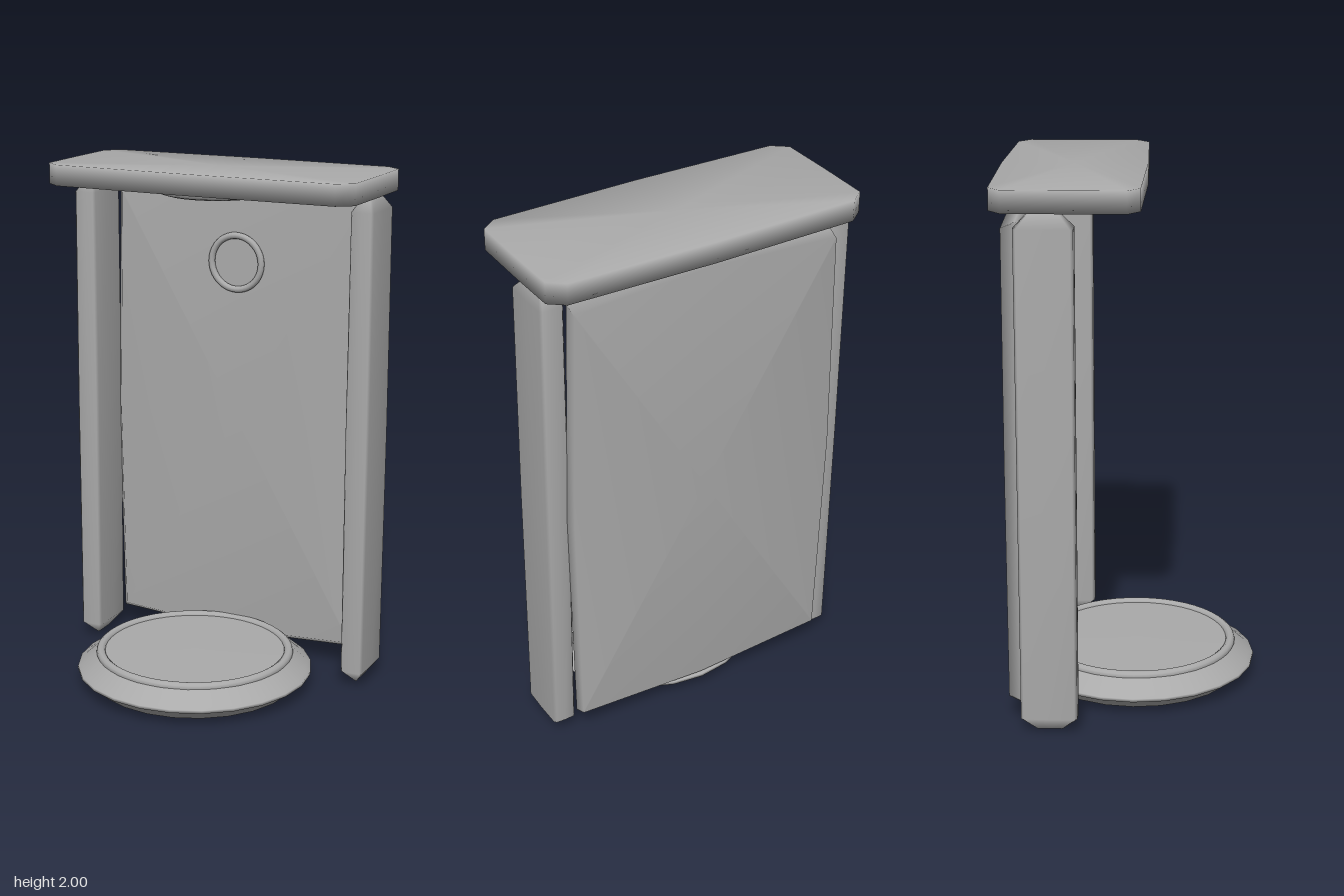
import * as THREE from 'three';

const grey = new THREE.MeshStandardMaterial({ color: 0xaaaaaa });
grey.name = 'plain grey';

// Rectangle outline with cut corners (cu, cv) and edges bowed out at the middle (bu, bv)
function outline(hu, hv, cu, cv, bu, bv) {
  const q = [[hu, 0], [hu - bu, hv - cv], [hu - cu, hv - bv], [0, hv]];
  const pts = [...q];
  pts.push([-q[2][0], q[2][1]], [-q[1][0], q[1][1]], [-hu, 0]);
  pts.push([-q[1][0], -q[1][1]], [-q[2][0], -q[2][1]], [0, -hv]);
  pts.push([q[2][0], -q[2][1]], [q[1][0], -q[1][1]]);
  return pts;
}

// Smooth closed solid from rings; each step is [distance, scaleU, scaleV]
function loft(pts, steps, place) {
  const pos = [], idx = [], n = pts.length, last = steps.length - 1;
  for (const [d, su, sv] of steps)
    for (const [u, v] of pts) pos.push(...place(u * su, v * sv, d));
  for (let r = 0; r < last; r++)
    for (let i = 0; i < n; i++) {
      const j = (i + 1) % n, a = r * n + i, b = r * n + j;
      idx.push(a, b, b + n, a, b + n, a + n);
    }
  const c = n * steps.length;
  pos.push(...place(0, 0, steps[0][0]), ...place(0, 0, steps[last][0]));
  for (let i = 0; i < n; i++) {
    const j = (i + 1) % n;
    idx.push(c, j, i, c + 1, last * n + i, last * n + j);
  }
  const g = new THREE.BufferGeometry();
  g.setAttribute('position', new THREE.Float32BufferAttribute(pos, 3));
  g.setIndex(idx);
  g.computeVertexNormals();
  return g;
}

const alongY = (u, v, d) => [v, d, u];
const alongZ = (u, v, d) => [u, v, d];

export function createModel() {
  const group = new THREE.Group();
  const add = (name, geometry, x, y, z) => {
    const mesh = new THREE.Mesh(geometry, grey);
    mesh.name = name;
    mesh.position.set(x, y, z);
    group.add(mesh);
    return mesh;
  };
  const lathe = (pts, sides) =>
    new THREE.LatheGeometry(pts.map(p => new THREE.Vector2(...p)), sides);

  // Canopy slab with cut corners, shaded as one soft form
  add('canopy', loft(outline(0.27, 0.63, 0.055, 0.06, 0.01, 0.002),
    [[1.92, 1, 1], [2, 1, 1]], alongY), 0, 0, -0.21);

  // Round lamp under the canopy
  add('canopyLamp', lathe([[0, 1.902], [0.2, 1.902], [0.22, 1.908], [0.22, 1.925]], 32), 0, 0, -0.17);

  // Side posts with wedge-shaped ends
  for (const side of [1, -1])
    add(side > 0 ? 'leftPost' : 'rightPost', loft(outline(0.105, 0.048, 0.012, 0.01, 0.002, 0.002),
      [[0.005, 0.45, 0.08], [0.06, 1, 0.97], [1, 1, 1.03], [1.865, 1, 0.97], [1.92, 0.5, 0.35]],
      alongY), side * 0.582, 0, -0.281);

  // Back panel, bowed on all edges, with a bevelled front
  add('backPanel', loft(outline(0.55, 0.925, 0.02, 0.035, 0.018, 0.03),
    [[-0.435, 0.995, 0.975], [-0.385, 1, 1], [-0.35, 0.95, 0.975]], alongZ), 0, 0.98, 0);

  // Ring on the panel
  add('panelRing', new THREE.TorusGeometry(0.106, 0.013, 10, 40), 0, 1.608, -0.343);

  // Round platform with a thin flange and raised rim
  add('platform', lathe([[0, 0], [0.36, 0], [0.4, 0.01], [0.437, 0.052], [0.46, 0.056],
    [0.46, 0.068], [0.443, 0.072], [0.39, 0.12], [0.37, 0.128], [0, 0.13]], 24), 0, 0, 0.018);
  add('platformRim', new THREE.TorusGeometry(0.369, 0.018, 10, 48), 0, 0.124, 0.018).rotation.x = Math.PI / 2;

  return group;
}
